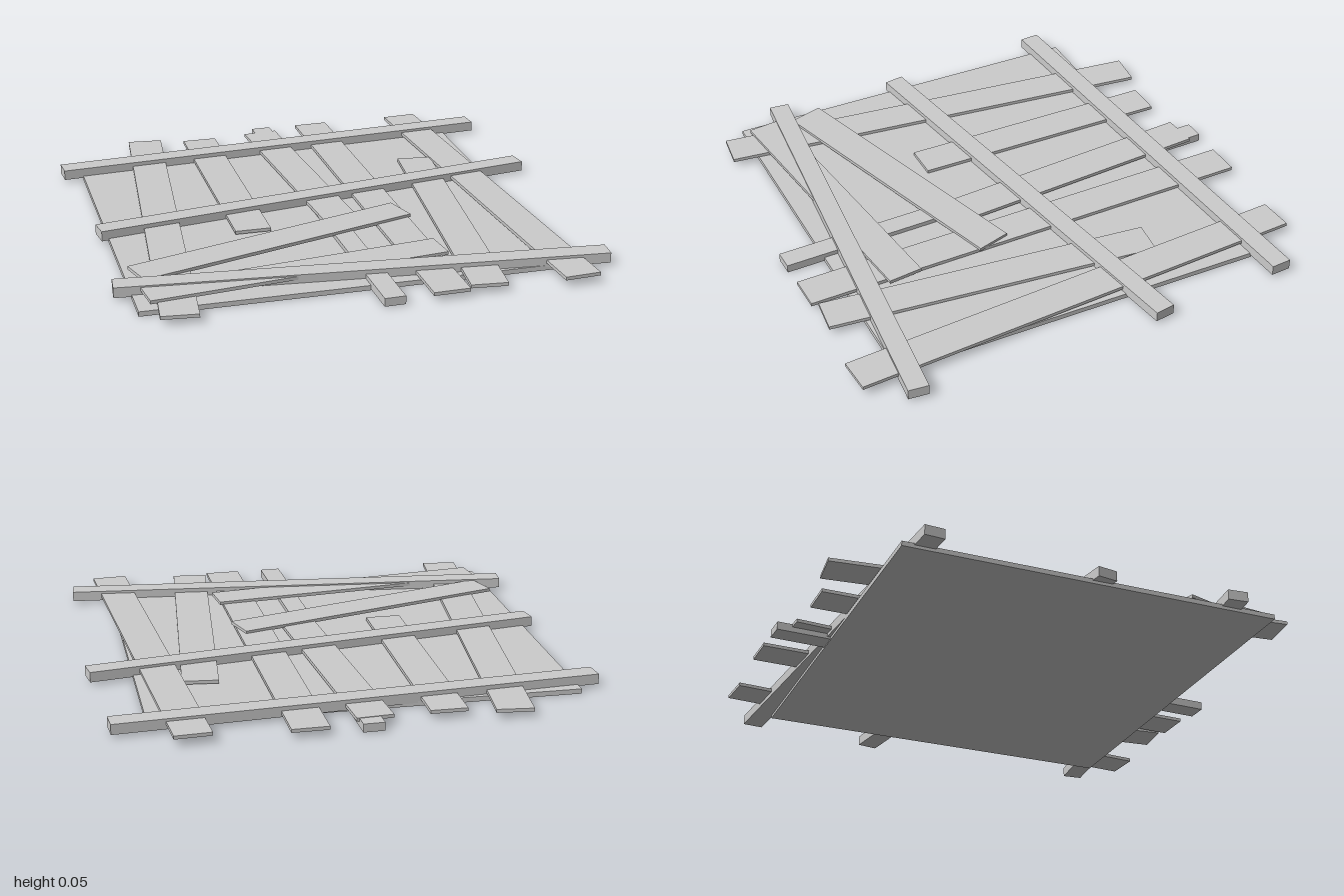
import * as THREE from 'three';

export function createModel() {
  const group = new THREE.Group();
  const mat = new THREE.MeshStandardMaterial({ color: 0xcccccc, flatShading: true });

  // Straight board between two end midpoints (x, z), spanning y0 to y1
  function board(name, [xa, za], [xb, zb], width, y0, y1) {
    const dx = xb - xa, dz = zb - za;
    const mesh = new THREE.Mesh(new THREE.BoxGeometry(Math.hypot(dx, dz), y1 - y0, width), mat);
    mesh.position.set((xa + xb) / 2, (y0 + y1) / 2, (za + zb) / 2);
    mesh.rotation.y = -Math.atan2(dz, dx);
    mesh.name = name;
    group.add(mesh);
  }

  // Backing panel
  board('backingPanel', [-0.91, 0.025], [0.81, 0.025], 1.57, 0, 0.02);

  // Lengthwise planks, left to right
  const planks = [
    [[-0.578, -0.953], [-0.773, 0.915], 0.148, 0.024, 0.038],
    [[-0.33, -0.907], [-0.33, 0.2], 0.148, 0.024, 0.038],
    [[-0.037, -0.925], [0.051, 0.21], 0.148, 0.026, 0.04],
    [[0.223, -0.985], [0.265, 0.97], 0.148, 0.024, 0.038],
    [[0.559, -0.422], [0.423, 0.95], 0.148, 0.024, 0.038],
    [[0.66, -0.973], [0.795, 0.977], 0.148, 0.03, 0.044],
  ];
  planks.forEach(([a, b, w, y0, y1], i) => board(`plank${i + 1}`, a, b, w, y0, y1));

  // Narrow, thicker batten under the planks
  board('narrowBatten', [-0.018, -0.987], [0.038, 0.972], 0.085, 0.004, 0.038);

  // Loose slanting planks lying on top
  board('slantedPlankUpper', [-0.87, 0.523], [0.313, 0.162], 0.146, 0.035, 0.049);
  board('slantedPlankLower', [-0.869, 0.717], [0.352, 0.571], 0.144, 0.035, 0.049);

  // Cross beams nailed over the planks
  const beams = [
    [[-0.996, -0.662], [0.955, -0.807]],
    [[-0.945, 0.061], [0.991, -0.249]],
    [[-0.975, 0.61], [0.975, 0.793]],
  ];
  beams.forEach(([a, b], i) => board(`crossBeam${i + 1}`, a, b, 0.084, 0.013, 0.055));

  return group;
}
